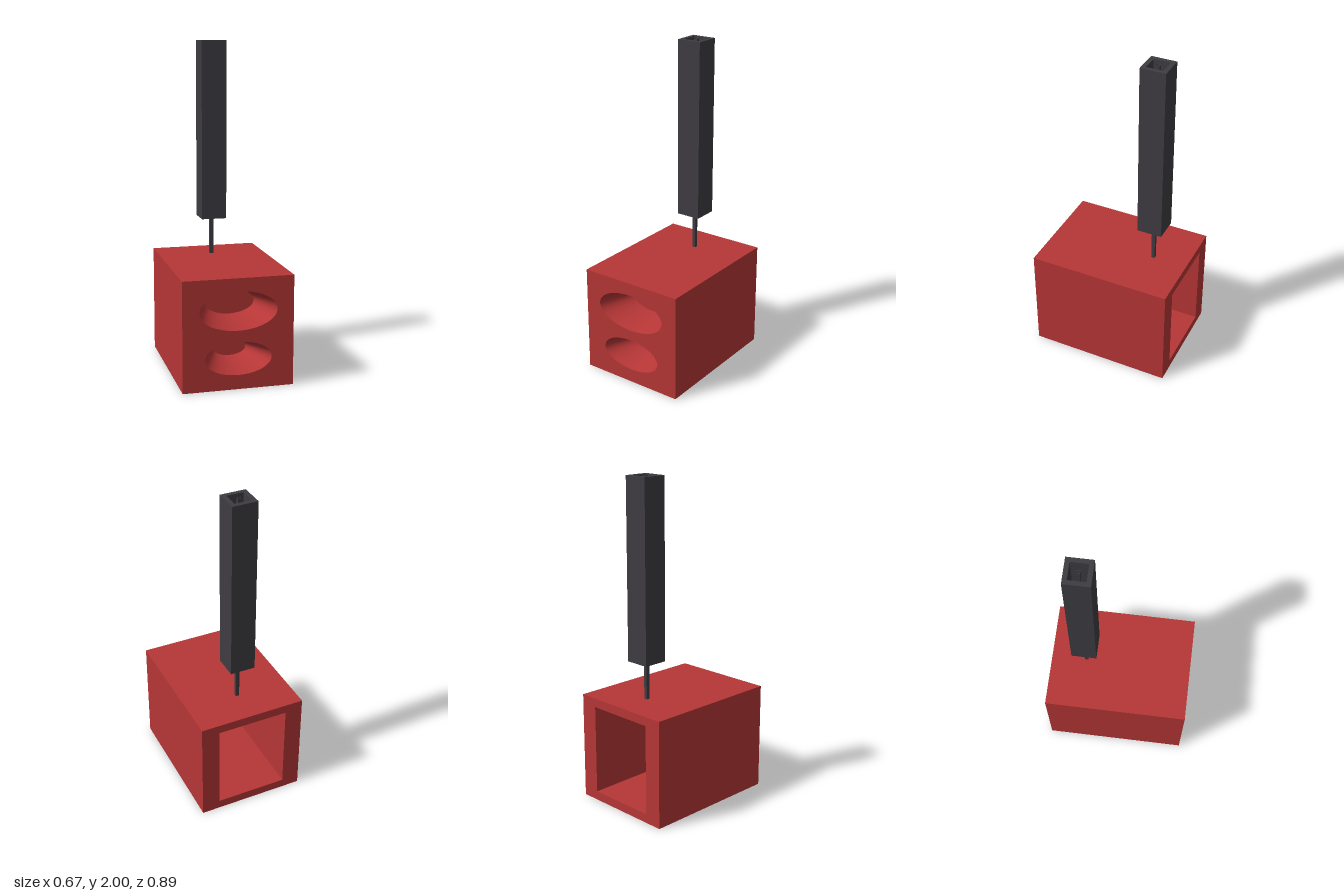
import * as THREE from 'three';

const W = 0.665, H = 0.665, D = 0.886;   // body size
const FUNNEL = 0.215;                    // depth of the front recesses
const FRONT = 0.222;                     // thickness of the front block
const MAST_Z = -0.222;

const red = new THREE.MeshStandardMaterial({ color: 0xb63636, side: THREE.DoubleSide });
red.name = 'red';
const charcoal = new THREE.MeshStandardMaterial({ color: 0x3e3c42, side: THREE.DoubleSide });
charcoal.name = 'charcoal';

function rectPath(w, h, PathType = THREE.Path) {
  const p = new PathType();
  p.moveTo(-w / 2, -h / 2);
  p.lineTo(w / 2, -h / 2);
  p.lineTo(w / 2, h / 2);
  p.lineTo(-w / 2, h / 2);
  p.closePath();
  return p;
}

function extrude(outer, holes, depth) {
  outer.holes.push(...holes);
  return new THREE.ExtrudeGeometry(outer, { depth, bevelEnabled: false, curveSegments: 32 });
}

function add(parent, name, geometry, material, x = 0, y = 0, z = 0) {
  const mesh = new THREE.Mesh(geometry, material);
  mesh.name = name;
  mesh.position.set(x, y, z);
  parent.add(mesh);
  return mesh;
}

// Upright square tube, open at both ends
function squareTube(outer, inner, height) {
  return extrude(rectPath(outer, outer, THREE.Shape), [rectPath(inner, inner)], height).rotateX(-Math.PI / 2);
}

export function createModel() {
  const model = new THREE.Group();
  model.name = 'boxWithMast';

  // Hollow rear of the body, open at the back
  const body = new THREE.Group();
  body.name = 'body';
  model.add(body);
  const sleeve = extrude(rectPath(W, H, THREE.Shape), [rectPath(W * 2 / 3, H * 5 / 6)], D - FRONT);
  add(body, 'rearSleeve', sleeve, red, 0, H / 2, -D / 2);
  add(body, 'cavityEnd', new THREE.BoxGeometry(W * 0.68, H * 0.85, 0.01), red, 0, H / 2, D / 2 - FRONT);

  // Front block with two oval recesses narrowing to flat floors
  const recesses = [
    { name: 'upperRecess', y: 0.47, outer: 0.233, inner: 0.15 },
    { name: 'lowerRecess', y: 0.186, outer: 0.2, inner: 0.1 },
  ];
  const ovals = recesses.map(({ y, outer }) => {
    const p = new THREE.Path();
    p.absellipse(0, y - H / 2, outer, outer / 2, 0, Math.PI * 2, true);
    return p;
  });
  add(body, 'frontBlock', extrude(rectPath(W, H, THREE.Shape), ovals, FRONT), red, 0, H / 2, D / 2 - FRONT);
  for (const { name, y, outer, inner } of recesses) {
    const wall = new THREE.CylinderGeometry(outer, inner, FUNNEL, 64, 1, true);
    wall.rotateX(Math.PI / 2).scale(1, 0.5, 1);
    add(body, name + 'Wall', wall, red, 0, y, D / 2 - FUNNEL / 2);
    const floor = new THREE.CircleGeometry(inner, 64).scale(1, 0.5, 1);
    add(body, name + 'Floor', floor, red, 0, y, D / 2 - FUNNEL);
  }

  // Mast: square sleeve around a thin rod, anchored under the roof
  const mast = new THREE.Group();
  mast.name = 'mast';
  mast.position.z = MAST_Z;
  model.add(mast);
  add(mast, 'mastSleeve', squareTube(0.155, 0.102, 1.1), charcoal, 0, 0.9, 0);
  add(mast, 'mastRod', squareTube(0.022, 0.018, 2 - H), charcoal, 0, H, 0);
  add(mast, 'mastAnchor', new THREE.BoxGeometry(0.155, 0.03, 0.155), charcoal, 0, H * 11 / 12 - 0.013, 0);

  return model;
}
